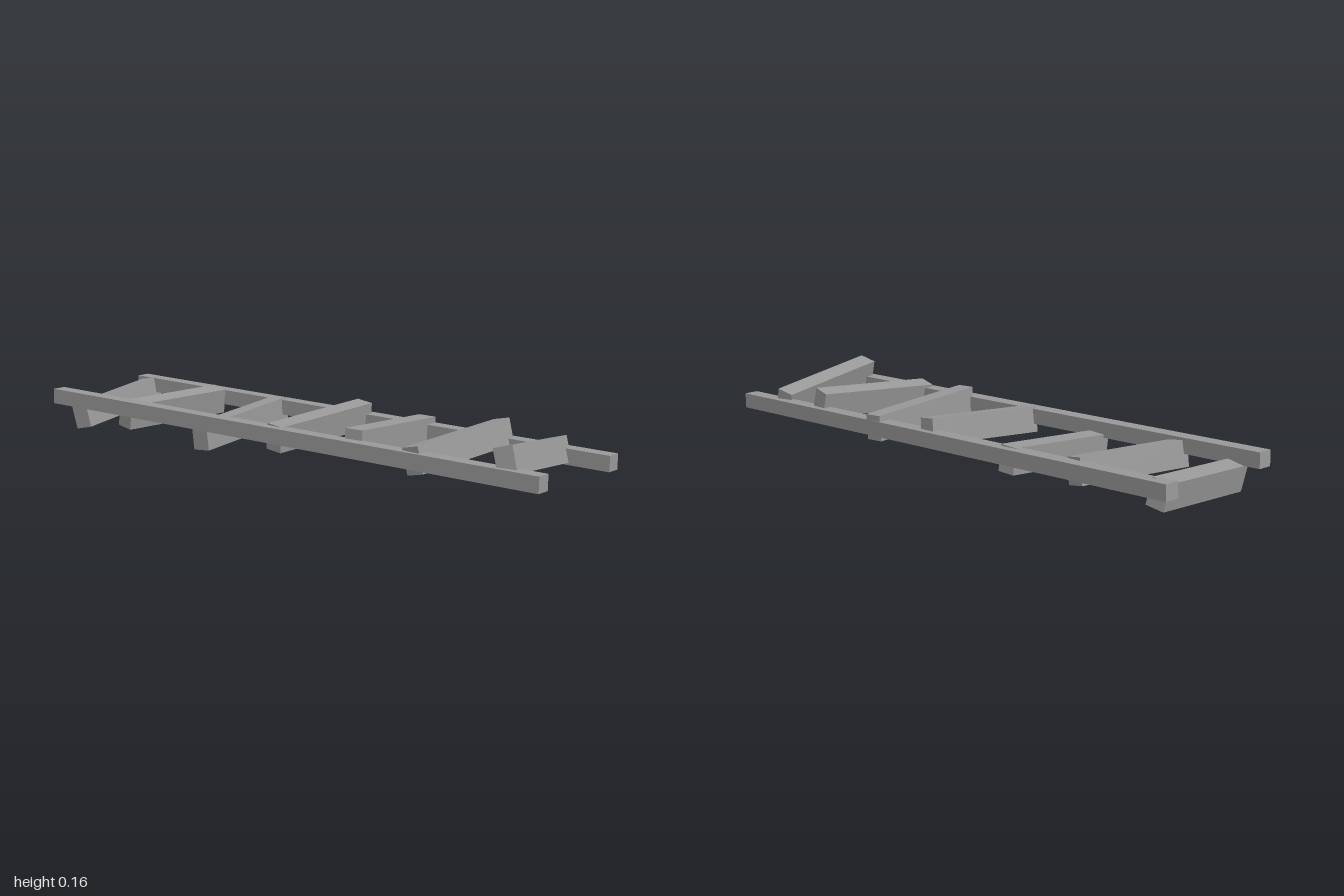
import * as THREE from 'three';

const material = new THREE.MeshStandardMaterial({ color: 0x999999, flatShading: true });

// Straight timber between two end centres, rolled about its own length
function timber(name, a, b, height, thickness, roll = 0) {
  const start = new THREE.Vector3(...a);
  const end = new THREE.Vector3(...b);
  const d = end.clone().sub(start);
  const mesh = new THREE.Mesh(new THREE.BoxGeometry(d.length(), height, thickness), material);
  mesh.name = name;
  mesh.position.copy(start).add(end).multiplyScalar(0.5);
  mesh.rotation.set(roll, Math.atan2(-d.z, d.x), Math.atan2(d.y, Math.hypot(d.x, d.z)), 'YZX');
  return mesh;
}

export function createModel() {
  const ladder = new THREE.Group();
  ladder.name = 'ladder';

  // Long side rails, raised slightly at the back
  ladder.add(
    timber('rightRail', [-0.621, 0.122, -0.782], [0.227, 0.062, 0.988], 0.051, 0.051),
    timber('leftRail', [-0.227, 0.115, -0.988], [0.621, 0.05, 0.782], 0.051, 0.051),
  );

  // Crooked rungs from back to front: two ends and the roll
  const rungs = [
    [[-0.569, 0.057, -0.698], [-0.207, 0.094, -0.938], -0.2],
    [[-0.48, 0.083, -0.498], [-0.075, 0.092, -0.628], 0.17],
    [[-0.332, 0.045, -0.193], [0.057, 0.08, -0.399], -0.05],
    [[-0.195, 0.078, 0.087], [0.215, 0.103, -0.071], 0.13],
    [[-0.056, 0.098, 0.364], [0.337, 0.075, 0.138], 0.04],
    [[0.027, 0.074, 0.588], [0.452, 0.103, 0.429], -0.2],
    [[0.17, 0.113, 0.874], [0.537, 0.068, 0.616], -0.25],
  ];
  rungs.forEach(([a, b, roll], i) => ladder.add(timber(`rung${i + 1}`, a, b, 0.086, 0.062, roll)));

  return ladder;
}
